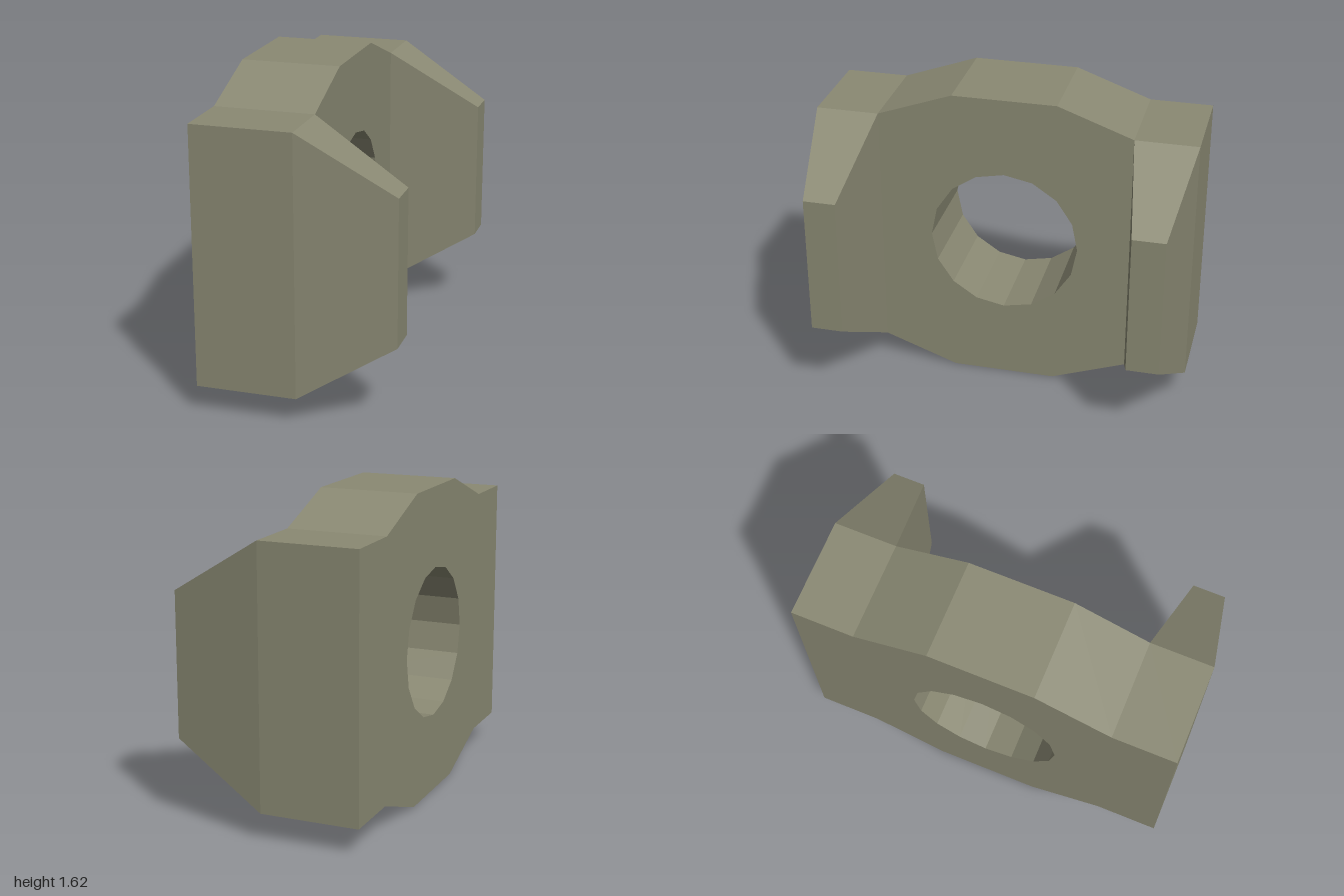
import * as THREE from 'three';

const MID_Y = 0.815;      // height of the bore axis
const BACK_X = -0.5, FACE_X = 0.015, TIP_X = 0.5;

const material = new THREE.MeshStandardMaterial({ color: 0x8a8973, flatShading: true });

// Plate: stepped outline with a 16-sided bore, extruded along x
function makePlate() {
  const quarter = [[1, 0.67], [0.67, 0.67], [0.275, 0.8125]];
  const mirrored = quarter.map(([u, v]) => [-u, v]).reverse();
  const top = [...quarter, ...mirrored];
  const bottom = top.map(([u, v]) => [-u, -v]);
  const shape = new THREE.Shape([...top, ...bottom].map(([u, v]) => new THREE.Vector2(u, v)));

  const bore = [];
  for (let i = 0; i < 16; i++) {
    const a = (i / 16) * Math.PI * 2;
    bore.push(new THREE.Vector2(Math.cos(a) * 0.395, Math.sin(a) * 0.395));
  }
  shape.holes.push(new THREE.Path(bore));

  const geometry = new THREE.ExtrudeGeometry(shape, { depth: FACE_X - BACK_X, bevelEnabled: false });
  geometry.rotateY(Math.PI / 2);
  geometry.translate(BACK_X, MID_Y - 0.0025, 0);
  const plate = new THREE.Mesh(geometry, material);
  plate.name = 'plate';
  return plate;
}

// Lug: box narrowed towards its outer end
function makeLug(side, name) {
  const geometry = new THREE.BoxGeometry(TIP_X - FACE_X, 1.34, 0.33);
  const pos = geometry.attributes.position;
  for (let i = 0; i < pos.count; i++) {
    if (pos.getX(i) > 0) {
      pos.setY(i, pos.getY(i) * 0.56);
      pos.setZ(i, pos.getZ(i) * 0.515);
    }
  }
  geometry.computeVertexNormals();
  const lug = new THREE.Mesh(geometry, material);
  lug.position.set((FACE_X + TIP_X) / 2, MID_Y - 0.0025, side * 0.835);
  lug.name = name;
  return lug;
}

export function createModel() {
  const group = new THREE.Group();
  group.name = 'bracket';
  group.add(makePlate(), makeLug(1, 'frontLug'), makeLug(-1, 'backLug'));
  return group;
}
